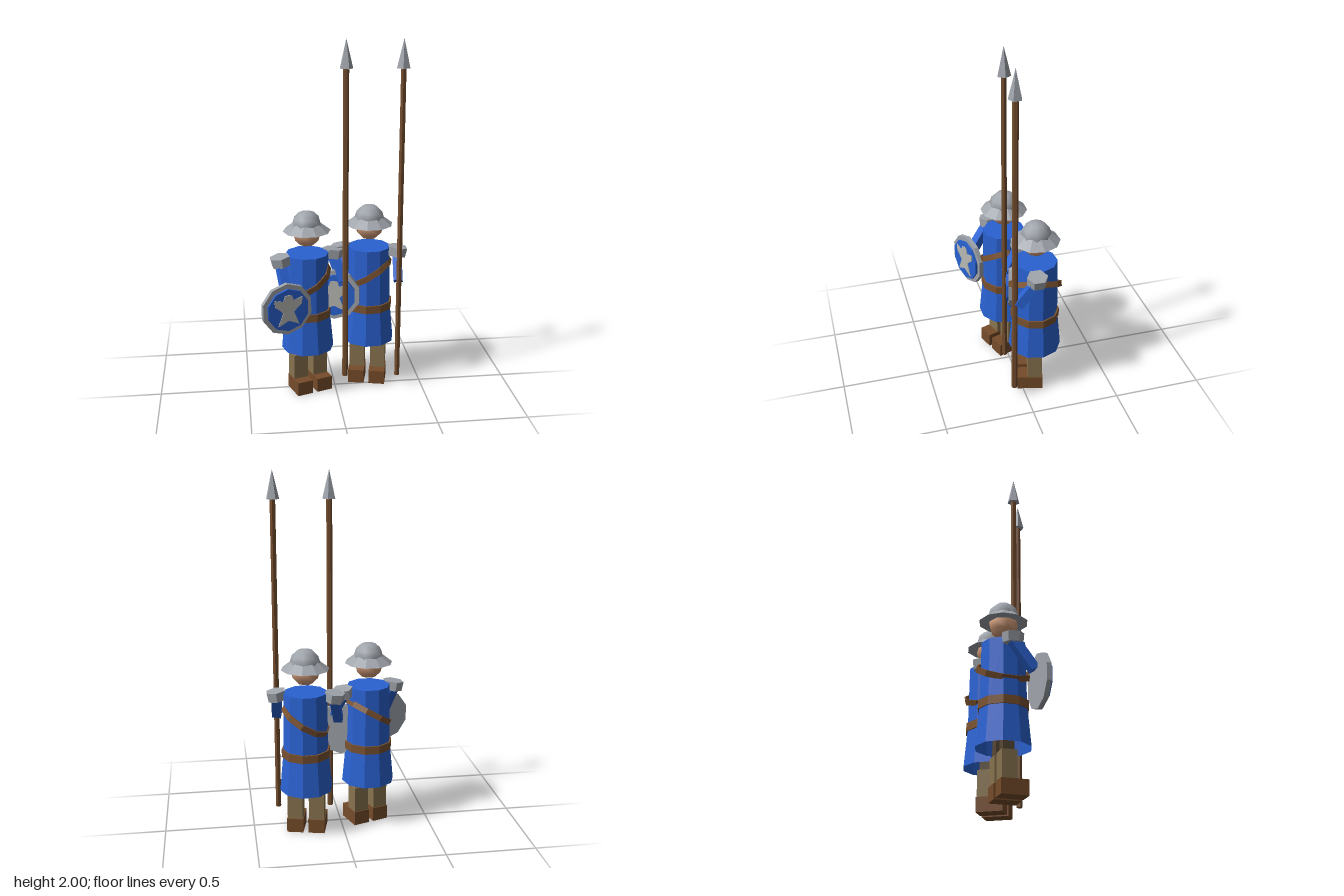
import * as THREE from 'three';

const mat = (name, color, side = THREE.FrontSide) => {
  const m = new THREE.MeshStandardMaterial({ color, side });
  m.name = name;
  return m;
};

// Faceted copy of a geometry
function flat(geo) {
  const g = geo.index ? geo.toNonIndexed() : geo;
  g.computeVertexNormals();
  return g;
}

function add(parent, name, geo, material, x = 0, y = 0, z = 0) {
  const mesh = new THREE.Mesh(geo, material);
  mesh.name = name;
  mesh.position.set(x, y, z);
  parent.add(mesh);
  return mesh;
}

const box = (w, h, d) => new THREE.BoxGeometry(w, h, d);
const cyl = (rTop, rBottom, h, sides, open = false) =>
  flat(new THREE.CylinderGeometry(rTop, rBottom, h, sides, 1, open));

// Square bar stretched between two points
function limb(parent, name, material, from, to, size) {
  const a = new THREE.Vector3(...from), b = new THREE.Vector3(...to);
  const mesh = add(parent, name, box(size, a.distanceTo(b), size), material);
  mesh.position.lerpVectors(a, b, 0.5);
  mesh.quaternion.setFromUnitVectors(new THREE.Vector3(0, -1, 0), b.sub(a).normalize());
}

// Ten-sided band with a rectangular section
function band(inner, outer, h) {
  const p = [[inner, -h / 2], [outer, -h / 2], [outer, h / 2], [inner, h / 2], [inner, -h / 2]];
  return flat(new THREE.LatheGeometry(p.map(([r, y]) => new THREE.Vector2(r, y)), 10));
}

function makeSoldier(m) {
  const s = new THREE.Group();

  // Head and brimmed helmet
  add(s, 'head', new THREE.SphereGeometry(0.08, 8, 6), m.skin, 0, 0.94, 0);
  add(s, 'helmetBrim', cyl(0.075, 0.133, 0.045, 10), m.metal, 0, 0.9725, 0);
  const dome = new THREE.SphereGeometry(0.084, 8, 3, 0, Math.PI * 2, 0, Math.PI / 2);
  add(s, 'helmetDome', dome, m.metal, 0, 0.985, 0).scale.y = 0.95;

  // Tunic with flared open skirt, belt and shoulder strap
  add(s, 'tunic', cyl(0.12, 0.127, 0.345, 10), m.blue, 0, 0.6475, 0);
  add(s, 'skirt', cyl(0.127, 0.148, 0.22, 10, true), m.blue, 0, 0.365, 0);
  add(s, 'belt', band(0.12, 0.136, 0.045), m.leather, 0, 0.475, 0);
  add(s, 'shoulderStrap', band(0.138, 0.147, 0.032), m.leather, 0, 0.665, 0).rotation.z = 0.55;

  for (const side of [-1, 1]) {
    // Legs and boots
    add(s, 'thigh', box(0.06, 0.26, 0.06), m.dark, side * 0.06, 0.34, 0);
    add(s, 'trouserLeg', box(0.085, 0.15, 0.08), m.tan, side * 0.06, 0.15, 0);
    add(s, 'boot', box(0.092, 0.08, 0.145), m.boot, side * 0.06, 0.04, 0.0275);
    // Shoulder plates, sloping outward
    const plate = add(s, 'shoulderPlate', cyl(0.058, 0.054, 0.052, 6), m.metal, side * 0.16, 0.796, 0);
    plate.rotation.set(0, 0.2 * side, -side * 0.15);
  }
  limb(s, 'leftArm', m.blue, [0.16, 0.785, 0], [0.175, 0.65, 0.1], 0.05);
  limb(s, 'rightArm', m.blue, [-0.16, 0.785, 0], [-0.17, 0.63, 0.11], 0.05);

  // Spear
  add(s, 'spearShaft', cyl(0.016, 0.016, 1.77, 6), m.wood, 0.18, 0.965, 0.12);
  add(s, 'spearHead', cyl(0, 0.037, 0.155, 5), m.metal, 0.18, 1.9225, 0.12);

  // Round shield with painted face and bird emblem
  const shield = new THREE.Group();
  shield.name = 'shield';
  shield.position.set(-0.182, 0.567, 0.132);
  s.add(shield);
  add(shield, 'shieldDisc', cyl(0.148, 0.148, 0.026, 10), m.metal).rotation.x = Math.PI / 2;
  add(shield, 'shieldFace', cyl(0.122, 0.122, 0.014, 10), m.blue, 0, 0, 0.019).rotation.x = Math.PI / 2;
  const half = [[0, 0.09], [0.022, 0.084], [0.03, 0.055], [0.082, 0.07], [0.078, 0.03],
    [0.055, 0.012], [0.032, -0.012], [0.062, -0.088], [0, -0.06]];
  const outline = [...half, ...half.slice(1, -1).reverse().map(([x, y]) => [-x, y])];
  const bird = new THREE.Shape(outline.map(([x, y]) => new THREE.Vector2(x, y)));
  add(shield, 'shieldEmblem', new THREE.ExtrudeGeometry(bird, { depth: 0.006, bevelEnabled: false }),
    m.emblem, 0, 0, 0.024);
  return s;
}

export function createModel() {
  const m = {
    blue: mat('tunic blue', 0x2a62d2, THREE.DoubleSide),
    metal: mat('steel grey', 0xa0a5ac),
    emblem: mat('pale grey', 0xb8b8b4),
    skin: mat('skin', 0xd8a07c),
    leather: mat('leather brown', 0x7a5230),
    wood: mat('wood brown', 0x744e2e),
    boot: mat('boot brown', 0x764c2a),
    tan: mat('trouser tan', 0x88734f),
    dark: mat('dark brown', 0x574836),
  };
  const model = new THREE.Group();
  model.name = 'guards';
  // Two guards, turned slightly toward each other
  [[-0.155, -0.01, 0.33], [0.207, -0.09, -0.24]].forEach(([x, z, yaw], i) => {
    const soldier = makeSoldier(m);
    soldier.name = i ? 'leftGuard' : 'rightGuard';
    soldier.position.set(x, 0, z);
    soldier.rotation.y = yaw;
    model.add(soldier);
  });
  return model;
}
